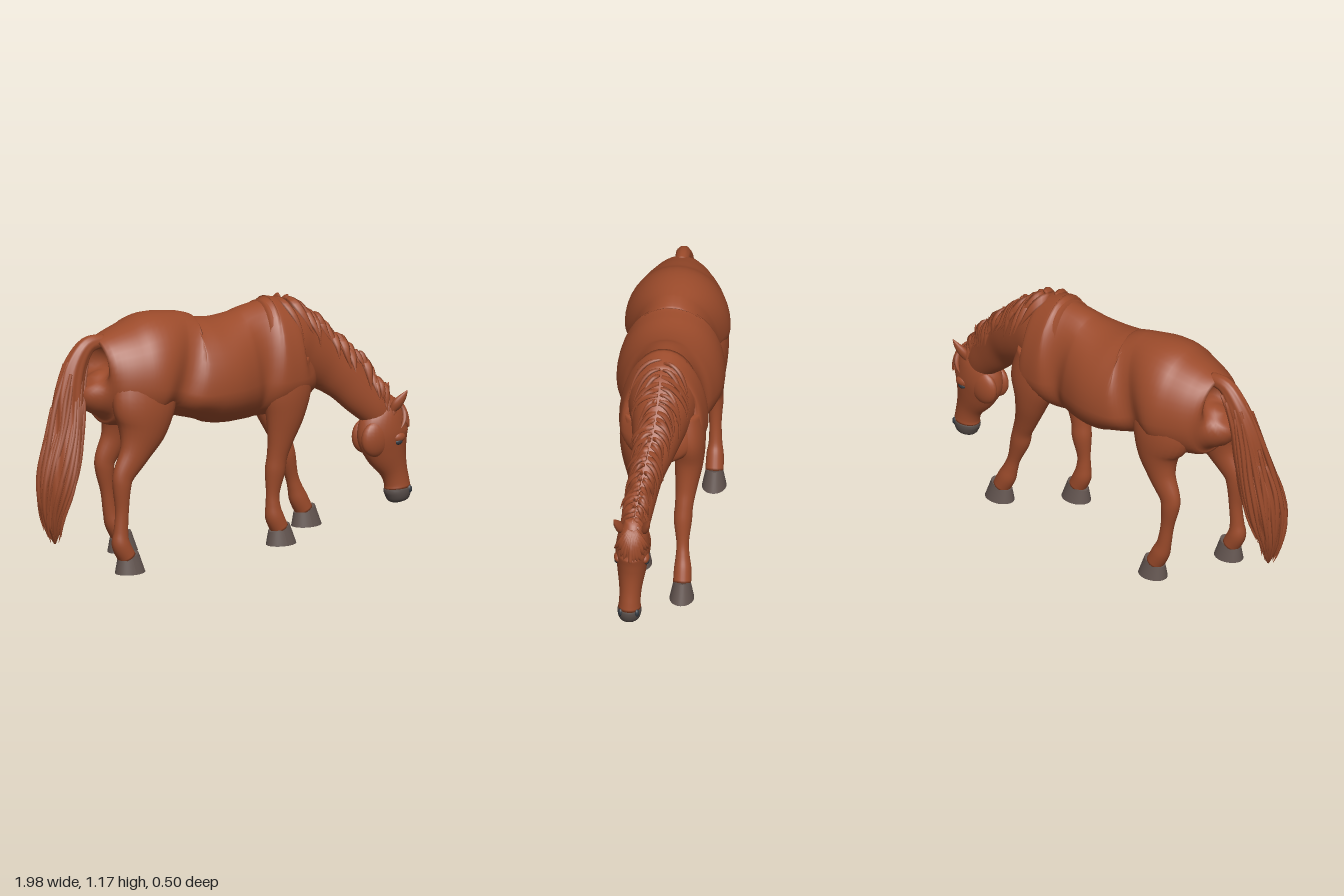
import * as THREE from 'three';

const coat = new THREE.MeshStandardMaterial({ name: 'chestnut coat', color: 0x9c4b2b });
const horn = new THREE.MeshStandardMaterial({ name: 'hoof grey', color: 0x635550 });
const skin = new THREE.MeshStandardMaterial({ name: 'muzzle grey', color: 0x564c48 });
const dark = new THREE.MeshStandardMaterial({ name: 'eye dark', color: 0x353b42 });

let seed = 7;
const rand = () => (seed = (seed * 16807) % 2147483647) / 2147483647;
const vary = (r) => (rand() * 2 - 1) * r;

// A station is [x, y, z, upper radius, side radius, lower radius]; u is a smooth station index.
function sample(st, u) {
  const last = st.length - 1;
  const i = Math.min(Math.max(Math.floor(u), 0), last - 1), t = Math.min(Math.max(u - i, 0), 1);
  const at = (k) => st[Math.min(Math.max(k, 0), last)];
  const val = (k, c) => at(k)[c] ?? at(k)[3];
  return [0, 1, 2, 3, 4, 5].map((c) => {
    const [p, q, r, s] = [val(i - 1, c), val(i, c), val(i + 1, c), val(i + 2, c)];
    return q + 0.5 * t * (r - p + t * (2 * p - 5 * q + 4 * r - s + t * (3 * (q - r) + s - p)));
  });
}

function frame(st, u) {
  const s = sample(st, u), a = sample(st, u - 0.05), b = sample(st, u + 0.05);
  const T = new THREE.Vector3(b[0] - a[0], b[1] - a[1], b[2] - a[2]).normalize();
  const N = new THREE.Vector3(0, 0, 1).cross(T).normalize();
  return { s, T, N, B: T.clone().cross(N), C: new THREE.Vector3(s[0], s[1], s[2]) };
}

function onSurface(f, angle, scale = 1, lift = 0) {
  const c = Math.cos(angle), r = c > 0 ? f.s[3] : f.s[5];
  return f.C.clone().addScaledVector(f.N, (r * scale + lift) * c)
    .addScaledVector(f.B, (f.s[4] * scale + lift) * Math.sin(angle));
}

// Skin of elliptical rings through the stations, closed at both ends
function loft(st, { sides = 24, steps = 5, from = 0, to = st.length - 1, ripple = () => 1 } = {}) {
  const rings = Math.max(2, Math.round((to - from) * steps)), pos = [], idx = [];
  for (let i = 0; i <= rings; i++) {
    const u = from + (to - from) * i / rings, f = frame(st, u);
    for (let j = 0; j < sides; j++) {
      const a = j / sides * Math.PI * 2;
      pos.push(...onSurface(f, a, ripple(a, u)).toArray());
    }
  }
  for (let i = 0; i < rings; i++) for (let j = 0; j < sides; j++) {
    const k = (j + 1) % sides, p = i * sides;
    idx.push(p + j, p + k, p + sides + j, p + k, p + sides + k, p + sides + j);
  }
  const c0 = pos.length / 3, end = rings * sides;
  for (const [u, d] of [[from, -0.3], [to, 0.3]]) {
    const f = frame(st, u);
    pos.push(...f.C.addScaledVector(f.T, d * Math.min(f.s[3], f.s[4])).toArray());
  }
  for (let j = 0; j < sides; j++) {
    const k = (j + 1) % sides;
    idx.push(c0, k, j, c0 + 1, end + j, end + k);
  }
  const g = new THREE.BufferGeometry();
  g.setAttribute('position', new THREE.Float32BufferAttribute(pos, 3));
  g.setIndex(idx);
  g.computeVertexNormals();
  return g;
}

// Tapered lock of hair through a few points
function lock(points, width, thick) {
  const n = points.length - 1;
  const st = points.map((p, i) => {
    const k = Math.max(0.06, Math.sin(Math.PI * (0.2 + 0.8 * i / n)));
    return [p.x, p.y, p.z, width * k, thick * k];
  });
  return loft(st, { sides: 6, steps: 3 });
}

export function createModel() {
  const horse = new THREE.Group();
  horse.name = 'horse';
  const add = (name, geometry, material = coat, parent = horse) => {
    const m = new THREE.Mesh(geometry, material);
    m.name = name;
    parent.add(m);
    return m;
  };
  const group = (name) => {
    const g = new THREE.Group();
    g.name = name;
    horse.add(g);
    return g;
  };
  const blob = (name, p, r, material = coat) => {
    const m = add(name, new THREE.SphereGeometry(1, 20, 14), material);
    m.position.set(...p);
    m.scale.set(...r);
    return m;
  };

  // Trunk: x, top, bottom, height of widest point, half width
  const trunk = [
    [-0.678, 0.95, 0.85, 0.9, 0.04], [-0.66, 1.05, 0.74, 0.88, 0.11], [-0.61, 1.105, 0.68, 0.88, 0.18],
    [-0.5, 1.145, 0.66, 0.87, 0.228], [-0.4, 1.177, 0.66, 0.86, 0.243], [-0.3, 1.168, 0.69, 0.83, 0.2],
    [-0.2, 1.13, 0.66, 0.8, 0.235], [-0.1, 1.108, 0.618, 0.8, 0.25], [0, 1.098, 0.602, 0.8, 0.242],
    [0.1, 1.11, 0.6, 0.8, 0.21], [0.17, 1.135, 0.6, 0.8, 0.178], [0.25, 1.157, 0.605, 0.79, 0.205],
    [0.33, 1.143, 0.625, 0.79, 0.2], [0.4, 1.09, 0.65, 0.79, 0.18], [0.46, 1.0, 0.69, 0.81, 0.12],
    [0.485, 0.9, 0.75, 0.82, 0.05],
  ].map(([x, top, bot, y, w]) => [x, y, 0, top - y, w, y - bot]);
  add('trunk', loft(trunk, { sides: 40 }));
  blob('sheath', [-0.27, 0.69, 0], [0.07, 0.035, 0.035]);

  // Neck, bending slightly to the left as it lowers
  const neck = [
    [0.2, 0.93, 0, 0.215, 0.15], [0.34, 0.91, 0, 0.213, 0.16], [0.45, 0.87, 0.005, 0.17, 0.13],
    [0.565, 0.805, 0.02, 0.13, 0.1], [0.66, 0.73, 0.045, 0.113, 0.08], [0.74, 0.64, 0.065, 0.1, 0.072],
    [0.81, 0.56, 0.08, 0.085, 0.066], [0.85, 0.49, 0.088, 0.07, 0.055],
  ];
  add('neck', loft(neck, { sides: 32 }));

  // Head and grey muzzle
  const head = [
    [0.87, 0.615, 0.085, 0.03, 0.035], [0.862, 0.54, 0.087, 0.095, 0.066], [0.847, 0.45, 0.09, 0.13, 0.078],
    [0.865, 0.36, 0.092, 0.108, 0.068], [0.902, 0.265, 0.095, 0.07, 0.052], [0.92, 0.2, 0.097, 0.062, 0.05],
    [0.923, 0.155, 0.098, 0.066, 0.055], [0.92, 0.12, 0.098, 0.05, 0.045], [0.92, 0.106, 0.098, 0.025, 0.02],
  ];
  add('head', loft(head, { to: 5.5, sides: 28 }));
  add('muzzle', loft(head, { from: 5.5, sides: 28 }), skin);
  for (const s of [1, -1]) {
    const side = s > 0 ? 'left' : 'right';
    blob(side + 'Cheek', [0.785, 0.43, 0.09 + s * 0.042], [0.075, 0.085, 0.036]);
    blob(side + 'Brow', [0.895, 0.427, 0.09 + s * 0.062], [0.036, 0.024, 0.02]);
    blob(side + 'Eye', [0.892, 0.408, 0.09 + s * 0.068], [0.021, 0.015, 0.013], dark);
    blob(side + 'Nostril', [0.965, 0.167, 0.098 + s * 0.037], [0.014, 0.019, 0.012], dark);
    add(side + 'Ear', loft([
      [0.87, 0.55, 0.088 + s * 0.045, 0.015, 0.015], [0.89, 0.585, 0.088 + s * 0.06, 0.026, 0.018],
      [0.915, 0.62, 0.088 + s * 0.073, 0.018, 0.012], [0.933, 0.65, 0.088 + s * 0.082, 0.002, 0.002],
    ], { sides: 12 }));
  }

  // Legs: stations from the body down to the pastern, then the hoof centre
  const legs = {
    leftHind: [-0.572, [[-0.47, 0.93, 0.11, 0.15, 0.09], [-0.48, 0.79, 0.145, 0.165, 0.088],
      [-0.495, 0.67, 0.15, 0.13, 0.08], [-0.54, 0.565, 0.16, 0.08, 0.055], [-0.602, 0.47, 0.165, 0.056, 0.04],
      [-0.615, 0.41, 0.167, 0.045, 0.037], [-0.615, 0.3, 0.168, 0.033, 0.029], [-0.622, 0.2, 0.17, 0.035, 0.031],
      [-0.622, 0.14, 0.17, 0.044, 0.04], [-0.59, 0.075, 0.17, 0.043, 0.042]]],
    rightHind: [-0.4, [[-0.45, 0.93, -0.11, 0.15, 0.09], [-0.435, 0.79, -0.145, 0.16, 0.088],
      [-0.418, 0.67, -0.15, 0.115, 0.08], [-0.445, 0.56, -0.16, 0.073, 0.055], [-0.495, 0.46, -0.165, 0.055, 0.04],
      [-0.5, 0.4, -0.167, 0.046, 0.037], [-0.485, 0.3, -0.168, 0.033, 0.029], [-0.468, 0.2, -0.17, 0.035, 0.031],
      [-0.448, 0.14, -0.17, 0.044, 0.04], [-0.415, 0.075, -0.17, 0.043, 0.042]]],
    leftFront: [0.285, [[0.31, 0.88, 0.125, 0.11, 0.06], [0.305, 0.74, 0.13, 0.125, 0.07],
      [0.297, 0.62, 0.125, 0.1, 0.066], [0.275, 0.5, 0.12, 0.065, 0.05], [0.26, 0.42, 0.115, 0.05, 0.042],
      [0.252, 0.35, 0.11, 0.049, 0.042], [0.24, 0.25, 0.11, 0.033, 0.029], [0.24, 0.19, 0.11, 0.035, 0.032],
      [0.248, 0.135, 0.11, 0.044, 0.04], [0.275, 0.075, 0.11, 0.043, 0.042]]],
    rightFront: [0.56, [[0.32, 0.88, -0.125, 0.11, 0.06], [0.34, 0.74, -0.13, 0.125, 0.07],
      [0.36, 0.62, -0.125, 0.085, 0.066], [0.395, 0.5, -0.115, 0.058, 0.05], [0.425, 0.42, -0.108, 0.048, 0.042],
      [0.443, 0.35, -0.104, 0.048, 0.042], [0.475, 0.25, -0.106, 0.032, 0.029], [0.495, 0.19, -0.108, 0.035, 0.032],
      [0.515, 0.135, -0.11, 0.044, 0.04], [0.545, 0.075, -0.11, 0.043, 0.042]]],
  };
  for (const [name, [hoofX, st]] of Object.entries(legs)) {
    add(name + 'Leg', loft(st));
    // Hoof: tapered, leaning back, higher at the toe
    const g = new THREE.CylinderGeometry(0.7, 1, 0.08, 28, 1).scale(0.075, 1, 0.057);
    const p = g.attributes.position;
    for (let i = 0; i < p.count; i++) if (p.getY(i) > 0) {
      p.setY(i, p.getY(i) + p.getX(i) * 0.3);
      p.setX(i, p.getX(i) - 0.012);
    }
    g.computeVertexNormals();
    add(name + 'Hoof', g.translate(hoofX, 0.04, st[9][2]), horn);
  }

  // Mane: locks wrapped over both sides of the neck
  const mane = group('mane');
  for (let i = 0; i < 30; i++) for (const s of [1, -1]) {
    const u = 0.75 + i * 0.185 + vary(0.08), reach = 0.95 + vary(0.35), slide = 0.7 + vary(0.2);
    const pts = [0, 0.25, 0.5, 0.75, 1].map((t) => onSurface(frame(neck, u + slide * t * t),
      s * (0.04 + reach * t), 1, 0.008 + 0.006 * Math.sin(t * 5 + i)));
    add('maneLock', lock(pts, 0.021 + vary(0.005), 0.011), coat, mane);
  }

  // Forelock falling over the face
  const forelock = group('forelock');
  for (let i = 0; i < 13; i++) {
    const a = (i - 6) / 6, drop = 1.55 + vary(0.35);
    const pts = [0.1, 0.4, 0.65, 0.85, 1].map((t) => onSurface(frame(head, 0.2 + drop * t), a * (0.3 + t * 0.9), 1, 0.01));
    add('forelockLock', lock(pts, 0.011, 0.014), coat, forelock);
  }

  // Tail: rippled core with strands twisting over it
  const tail = [
    [-0.61, 1.07, 0, 0.03, 0.03], [-0.7, 1.058, 0, 0.042, 0.036], [-0.765, 0.97, 0, 0.058, 0.045],
    [-0.805, 0.85, 0.01, 0.07, 0.055], [-0.83, 0.7, 0.025, 0.077, 0.07], [-0.87, 0.55, 0.04, 0.092, 0.082],
    [-0.9, 0.42, 0.047, 0.082, 0.082], [-0.918, 0.3, 0.05, 0.052, 0.055], [-0.91, 0.21, 0.05, 0.026, 0.03],
    [-0.905, 0.155, 0.05, 0.004, 0.004],
  ];
  const tailGroup = group('tail');
  add('tailCore', loft(tail, { sides: 48, ripple: (a, u) => 1 + 0.07 * Math.min(1, u / 4) * Math.sin(9 * a + u * 1.3) }), coat, tailGroup);
  for (let i = 0; i < 26; i++) {
    const a = i / 26 * Math.PI * 2, start = 1.2 + rand() * 3.2, end = 6.8 + rand() * 2, twist = 0.5 + vary(0.5);
    const pts = [0, 0.2, 0.4, 0.6, 0.8, 1].map((t) => onSurface(frame(tail, start + (end - start) * t),
      a + twist * t, 0.98, 0.006 * Math.sin(t * 6 + i) + 0.01 * t * t));
    add('tailStrand', lock(pts, 0.014, 0.014), coat, tailGroup);
  }
  return horse;
}
